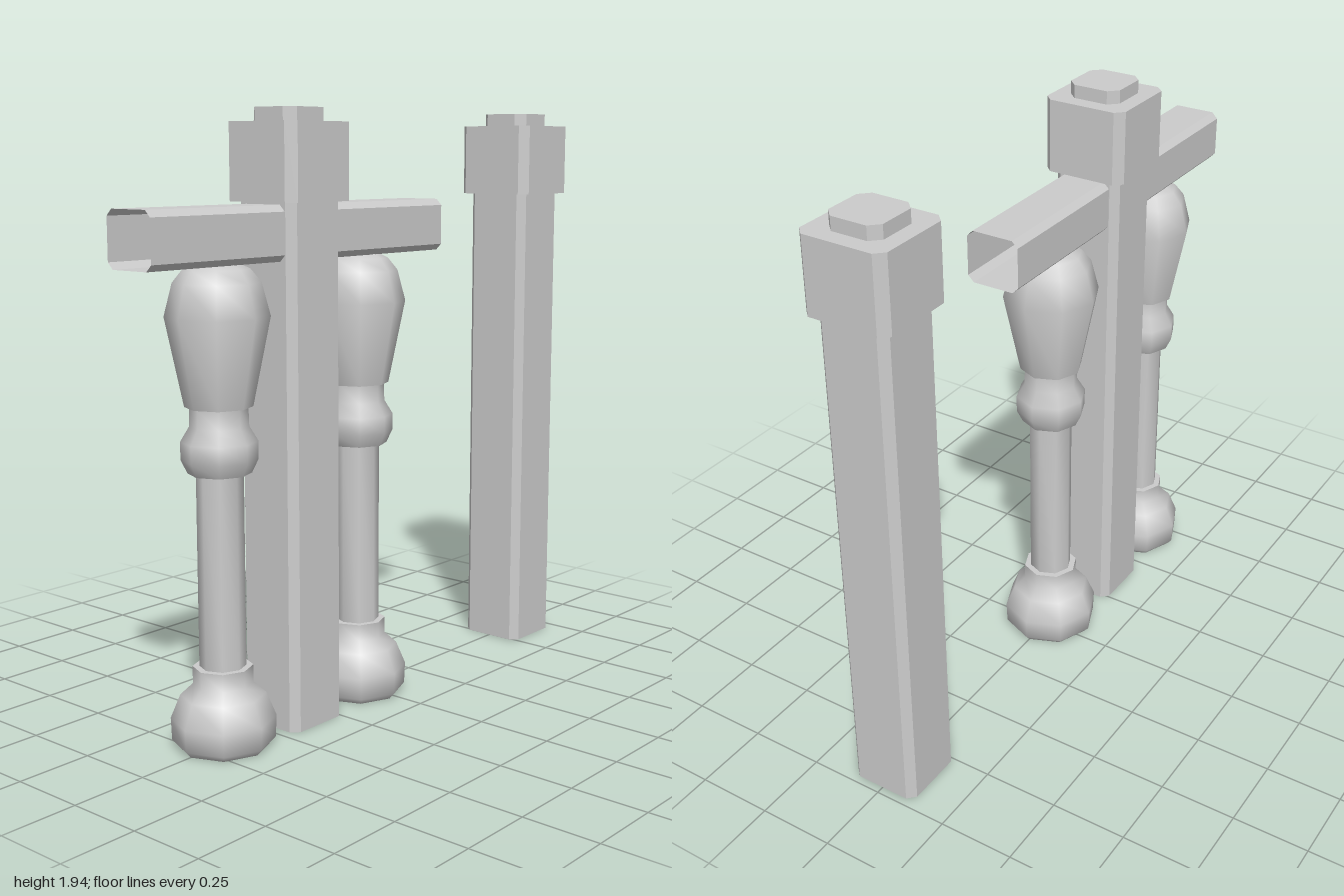
import * as THREE from 'three';
import { toCreasedNormals } from 'three/addons/utils/BufferGeometryUtils.js';

// Corner points of a rectangle with cut corners (half sizes a, b; cut c)
function cutRect(a, b, c) {
  return [
    [a, -b + c], [a, b - c], [a - c, b], [-a + c, b],
    [-a, b - c], [-a, -b + c], [-a + c, -b], [a - c, -b],
  ].map(([x, y]) => new THREE.Vector2(x, y));
}

// Solid upright block with cut corners, from y0 to y1
function block(half, cut, y0, y1) {
  const geo = new THREE.ExtrudeGeometry(new THREE.Shape(cutRect(half, half, cut)), {
    depth: y1 - y0, bevelEnabled: false,
  });
  geo.rotateX(-Math.PI / 2);
  geo.translate(0, y0, 0);
  return geo;
}

// Open-ended tube along x with a cut-corner section
function openTube(x0, x1, yMid, halfY, halfZ, cut) {
  const section = cutRect(halfZ, halfY, cut);
  const pos = [];
  section.forEach((p, i) => {
    const q = section[(i + 1) % section.length];
    const a = [x0, yMid + p.y, p.x], b = [x1, yMid + p.y, p.x];
    const c = [x1, yMid + q.y, q.x], d = [x0, yMid + q.y, q.x];
    pos.push(...a, ...b, ...c, ...a, ...c, ...d);
  });
  const geo = new THREE.BufferGeometry();
  geo.setAttribute('position', new THREE.Float32BufferAttribute(pos, 3));
  geo.computeVertexNormals();
  return geo;
}

export function createModel() {
  const model = new THREE.Group();
  model.name = 'balustrade';
  const stone = new THREE.MeshStandardMaterial({ color: 0xcccccc, side: THREE.DoubleSide });
  stone.name = 'light grey stone';

  const add = (parent, name, geo) => {
    const mesh = new THREE.Mesh(geo, stone);
    mesh.name = name;
    parent.add(mesh);
  };

  // Two posts, each with a wide cap and a small top plate
  for (const x of [-0.35, 0.857]) {
    const post = new THREE.Group();
    post.name = 'post';
    post.position.x = x;
    add(post, 'postShaft', block(0.117, 0.025, 0, 1.66));
    add(post, 'postCap', block(0.143, 0.028, 1.66, 1.9));
    add(post, 'postTop', block(0.089, 0.03, 1.9, 1.943));
    model.add(post);
  }

  // Hollow handrail running through the first post
  add(model, 'handrail', openTube(-1, 0.3, 1.568, 0.085, 0.09, 0.02));

  // Eight-sided turned balusters: profile as [radius, height]
  const profile = [
    [0, 0], [0.142, 0], [0.16, 0.02], [0.163, 0.09], [0.132, 0.165], [0.093, 0.2],
    [0.093, 0.255], [0.072, 0.255], [0.072, 0.858], [0.097, 0.858],
    [0.117, 0.9], [0.117, 0.955], [0.09, 1.0], [0.088, 1.06],
    [0.103, 1.06], [0.158, 1.33], [0.132, 1.43], [0.1, 1.47], [0.065, 1.487], [0, 1.487],
  ].map(([r, y]) => new THREE.Vector2(r, y));
  const turned = toCreasedNormals(new THREE.LatheGeometry(profile, 8), 1.1);
  for (const x of [-0.665, -0.03]) {
    const baluster = new THREE.Group();
    baluster.name = 'baluster';
    baluster.position.x = x;
    add(baluster, 'turnedBaluster', turned);
    model.add(baluster);
  }

  return model;
}
